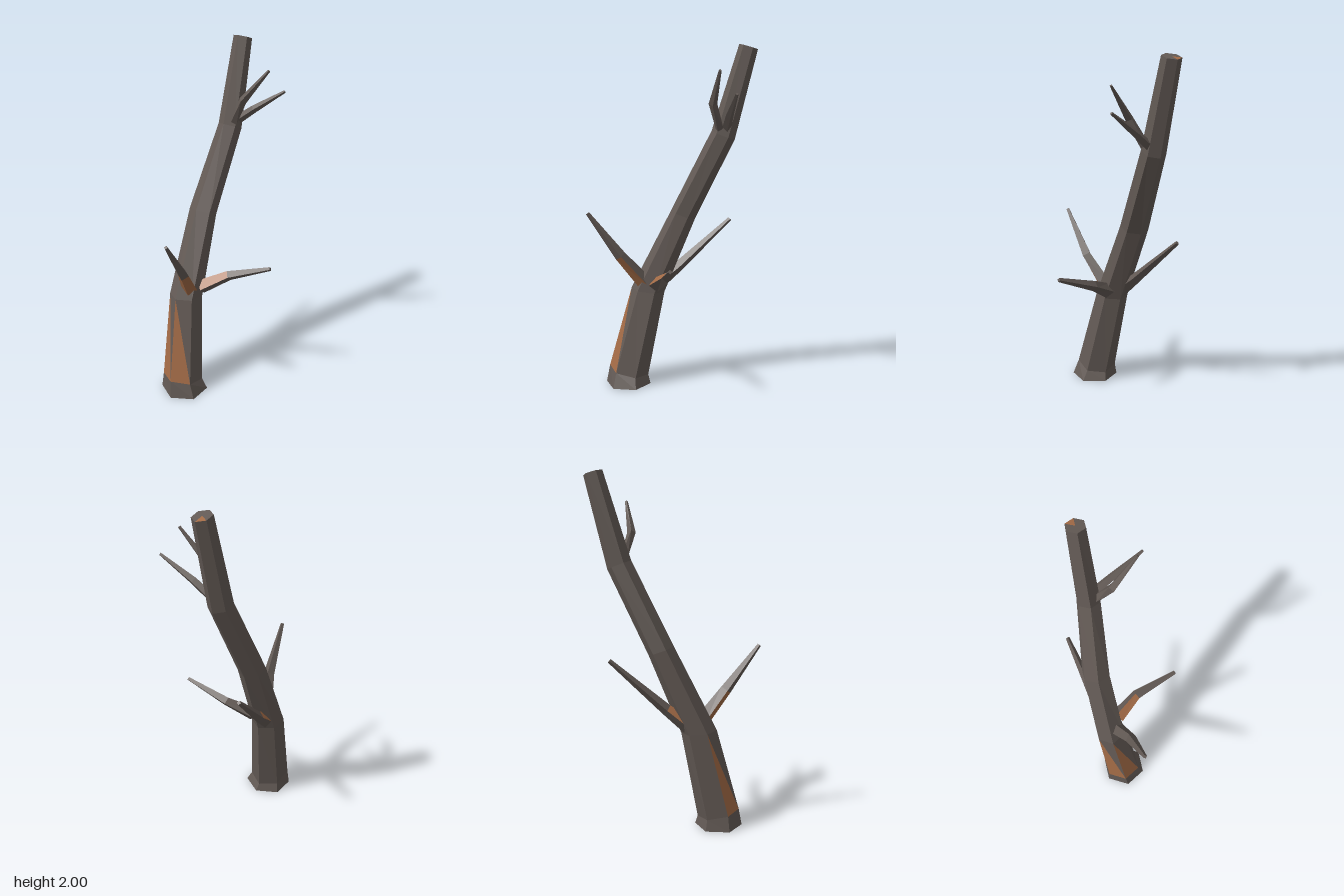
import * as THREE from 'three';

const bark = new THREE.MeshStandardMaterial({ color: 0x635a55 });
bark.name = 'bark';
const wood = new THREE.MeshStandardMaterial({ color: 0xa36b46 });
wood.name = 'bareWood';

// Flat-faced loft through rings of points; bare(segment, side, triangle) picks the bare-wood faces.
function loft(name, rings, bare) {
  const faces = [[], []];
  const add = (isBare, ...pts) => pts.forEach((p) => faces[isBare ? 1 : 0].push(p.x, p.y, p.z));
  const n = rings[0].length;
  const last = rings.length - 1;
  const middle = (ring) => ring.reduce((s, p) => s.add(p), new THREE.Vector3()).divideScalar(n);
  const bottom = middle(rings[0]);
  const top = middle(rings[last]);
  for (let k = 0; k < n; k++) {
    const m = (k + 1) % n;
    for (let i = 0; i < last; i++) {
      const a = rings[i], b = rings[i + 1];
      add(bare(i, k, 0), a[k], a[m], b[k]);
      add(bare(i, k, 1), a[m], b[m], b[k]);
    }
    add(false, bottom, rings[0][m], rings[0][k]);
    add(bare(last, k, 0), top, rings[last][k], rings[last][m]);
  }
  const geometry = new THREE.BufferGeometry();
  geometry.setAttribute('position', new THREE.Float32BufferAttribute(faces[0].concat(faces[1]), 3));
  geometry.addGroup(0, faces[0].length / 3, 0);
  geometry.addGroup(faces[0].length / 3, faces[1].length / 3, 1);
  geometry.computeVertexNormals();
  const mesh = new THREE.Mesh(geometry, [bark, wood]);
  mesh.name = name;
  return mesh;
}

// Hexagonal trunk ring; tilt raises the front and lowers the back
function trunkRing([x, y, z, rx, rz, tilt]) {
  return Array.from({ length: 6 }, (_, k) => {
    const a = (6 + 60 * k) * Math.PI / 180;
    return new THREE.Vector3(x + rx * Math.sin(a), y + tilt * Math.cos(a), z + rz * Math.cos(a));
  });
}

// Four-sided tapering branch through points [x, y, z, radius]; bareFaces lists 'segment,side'
function branch(name, path, bareFaces = []) {
  const pts = path.map((p) => new THREE.Vector3(p[0], p[1], p[2]));
  const rings = pts.map((p, i) => {
    const d = pts[Math.min(i + 1, pts.length - 1)].clone().sub(pts[Math.max(i - 1, 0)]).normalize();
    const u = new THREE.Vector3(0, 1, 0).addScaledVector(d, -d.y).normalize();
    const v = d.clone().cross(u);
    return [0, 1, 2, 3].map((k) => {
      const a = k * Math.PI / 2;
      return p.clone().addScaledVector(u, path[i][3] * Math.cos(a)).addScaledVector(v, path[i][3] * Math.sin(a));
    });
  });
  return loft(name, rings, (i, k) => bareFaces.includes(`${i},${k}`));
}

export function createModel() {
  const group = new THREE.Group();
  group.name = 'bareTree';

  // Leaning trunk: x, y, z, half width, half depth, tilt
  const trunk = [
    [-0.045, 0, 0.255, 0.138, 0.135, 0],
    [-0.057, 0.075, 0.255, 0.115, 0.118, 0.025],
    [-0.118, 0.57, 0.15, 0.092, 0.1, 0.01],
    [-0.165, 1.03, -0.055, 0.083, 0.07, 0.025],
    [-0.16, 1.495, -0.288, 0.067, 0.066, 0.025],
    [-0.182, 1.985, -0.421, 0.053, 0.052, 0.015],
  ].map(trunkRing);
  // Stripped bark on the lower front and a chip on the cut top
  group.add(loft('trunk', trunk, (i, k, t) =>
    (i === 1 && t === 0 && (k === 0 || k === 5)) || (i === 5 && k === 3)));

  // Lower branches
  group.add(branch('frontBranch',
    [[-0.08, 0.62, 0.16, 0.045], [-0.005, 0.79, 0.285, 0.033], [0.049, 1.045, 0.465, 0.011]],
    ['0,1', '0,2']));
  group.add(branch('leftBranch',
    [[-0.06, 0.615, 0.085, 0.045], [0.07, 0.695, -0.015, 0.03], [0.31, 0.79, -0.095, 0.012]],
    ['0,0']));
  group.add(branch('backBranch',
    [[-0.155, 0.605, 0.1, 0.045], [-0.19, 0.705, -0.02, 0.032], [-0.305, 0.99, -0.31, 0.012]],
    ['0,3']));

  // Upper twigs
  group.add(branch('upperTwig',
    [[-0.115, 1.53, -0.275, 0.025], [-0.035, 1.67, -0.25, 0.024], [0.095, 1.845, -0.312, 0.008]]));
  group.add(branch('lowerTwig',
    [[-0.12, 1.535, -0.315, 0.026], [-0.03, 1.605, -0.345, 0.022], [0.135, 1.72, -0.41, 0.008]]));

  return group;
}
